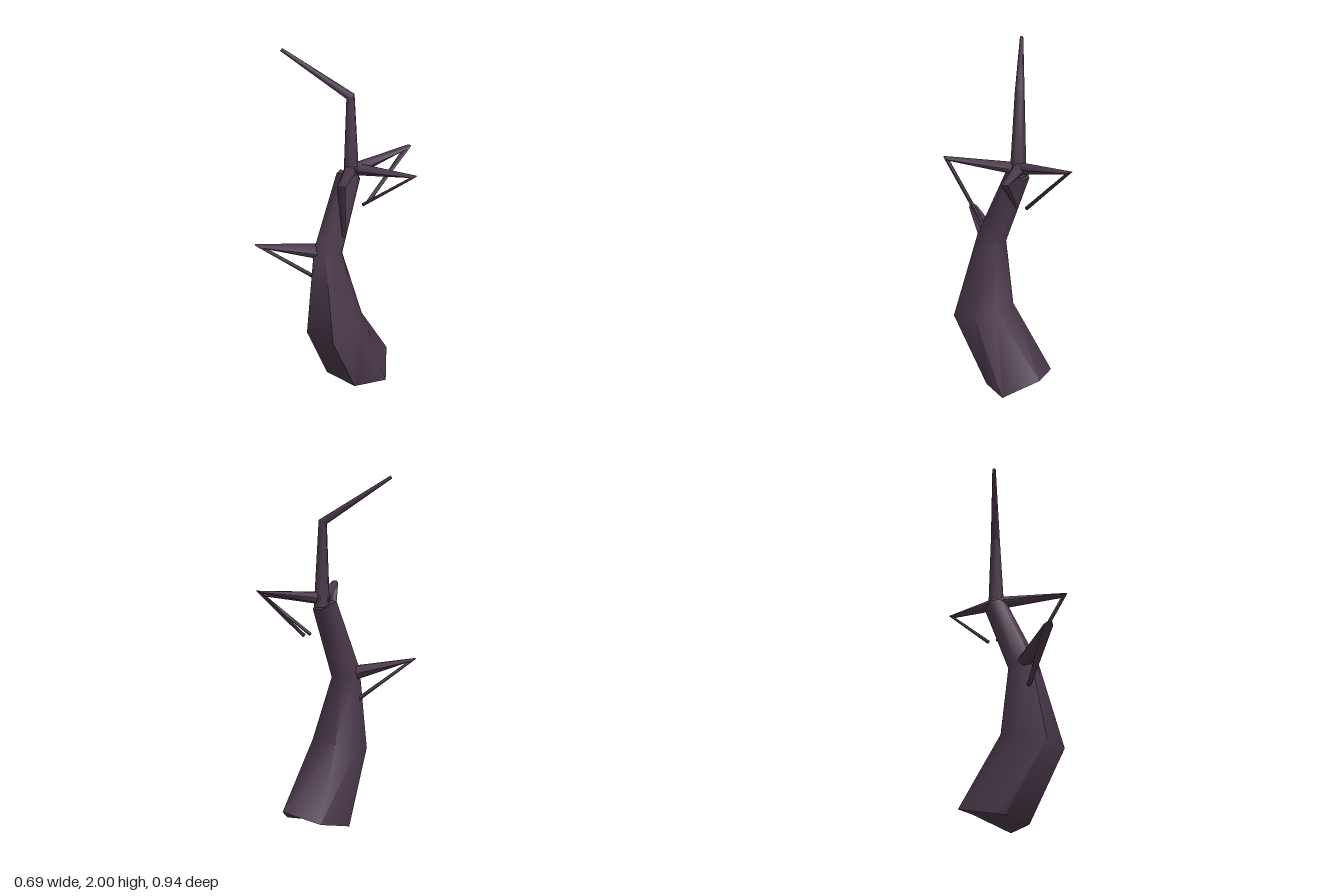
import * as THREE from 'three';
import { toCreasedNormals } from 'three/addons/utils/BufferGeometryUtils.js';

const V = (x, y, z) => new THREE.Vector3(x, y, z);

// Skin a list of equal-length rings, closing both ends with a fan.
function skin(rings) {
  const n = rings[0].length, pos = [], index = [];
  rings.forEach(r => r.forEach(p => pos.push(p.x, p.y, p.z)));
  for (let i = 0; i < rings.length - 1; i++) {
    for (let j = 0; j < n; j++) {
      const a = i * n + j, b = i * n + (j + 1) % n;
      index.push(a, b, b + n, a, b + n, a + n);
    }
  }
  const last = (rings.length - 1) * n;
  for (let j = 1; j < n - 1; j++) {
    index.push(0, j + 1, j, last, last + j, last + j + 1);
  }
  const g = new THREE.BufferGeometry();
  g.setAttribute('position', new THREE.Float32BufferAttribute(pos, 3));
  g.setIndex(index);
  return toCreasedNormals(g, 1.15);
}

// Tapered six-sided limb with mitred bends; it bends in one vertical plane.
function limb(points, radii, lean) {
  const side = V(0, 1, 0).cross(lean).normalize();
  const rings = points.map((p, i) => {
    const n = V(0, 0, 0);
    if (i > 0) n.add(p.clone().sub(points[i - 1]).normalize());
    if (i < points.length - 1) n.add(points[i + 1].clone().sub(p).normalize());
    n.normalize();
    const up = n.clone().cross(side).normalize();
    return Array.from({ length: 6 }, (_, k) => {
      const a = k * Math.PI / 3;
      return p.clone()
        .addScaledVector(side, Math.cos(a) * radii[i])
        .addScaledVector(up, Math.sin(a) * radii[i]);
    });
  });
  return skin(rings);
}

export function createModel() {
  const group = new THREE.Group();
  const bark = new THREE.MeshStandardMaterial({ color: 0x4b394b });
  bark.name = 'darkBark';
  const add = (name, geometry) => {
    const m = new THREE.Mesh(geometry, bark);
    m.name = name;
    group.add(m);
  };

  // Crooked trunk: front-left, front-right, right, back-right, back-left, left
  add('trunk', skin([
    [V(-0.1, 0, 0.07), V(0.13, 0, 0.07), V(0.22, 0, -0.11),
      V(0.08, 0.1, -0.275), V(-0.155, 0.06, -0.2), V(-0.155, 0, 0.03)],
    [V(-0.04, 0.4, 0.295), V(0.16, 0.4, 0.285), V(0.205, 0.45, 0.1),
      V(0.12, 0.47, 0), V(-0.06, 0.47, 0.01), V(-0.11, 0.43, 0.14)],
    [V(-0.06, 0.89, 0.21), V(0.025, 0.89, 0.205), V(0.058, 0.87, 0.13),
      V(0.02, 0.85, 0.06), V(-0.065, 0.85, 0.065), V(-0.1, 0.87, 0.13)],
    [V(-0.07, 1.3, 0.01), V(0.01, 1.31, 0.005), V(0.035, 1.3, -0.045),
      V(0.01, 1.26, -0.1), V(-0.06, 1.26, -0.1), V(-0.097, 1.3, -0.05)],
  ]));

  // Top shoot with its bent tip
  add('topShoot', limb(
    [V(-0.015, 1.27, -0.053), V(-0.025, 1.745, -0.055), V(-0.345, 1.99, 0.155)],
    [0.047, 0.027, 0.01], V(-0.32, 0, 0.21)));

  // Branches that fold back into hanging twigs: base, tip, twig end, radii
  const branches = [
    ['rightwardBranch', V(-0.03, 1.32, -0.06), V(0.32, 1.322, -0.2), V(0.045, 1.11, -0.085), [0.038, 0.02, 0.01]],
    ['frontBranch', V(-0.03, 1.31, -0.06), V(0.215, 1.373, 0.275), V(0.095, 1, 0.125), [0.038, 0.023, 0.012]],
    ['backBranch', V(0, 1.32, -0.05), V(0.07, 1.372, -0.44), V(0.035, 1.11, -0.145), [0.038, 0.023, 0.011]],
    ['lowBranch', V(-0.05, 0.87, 0.165), V(-0.255, 0.938, 0.45), V(-0.06, 0.71, 0.195), [0.045, 0.027, 0.012]],
  ];
  for (const [name, base, tip, end, radii] of branches) {
    add(name, limb([base, tip, end], radii, tip.clone().sub(base).setY(0)));
  }
  return group;
}
